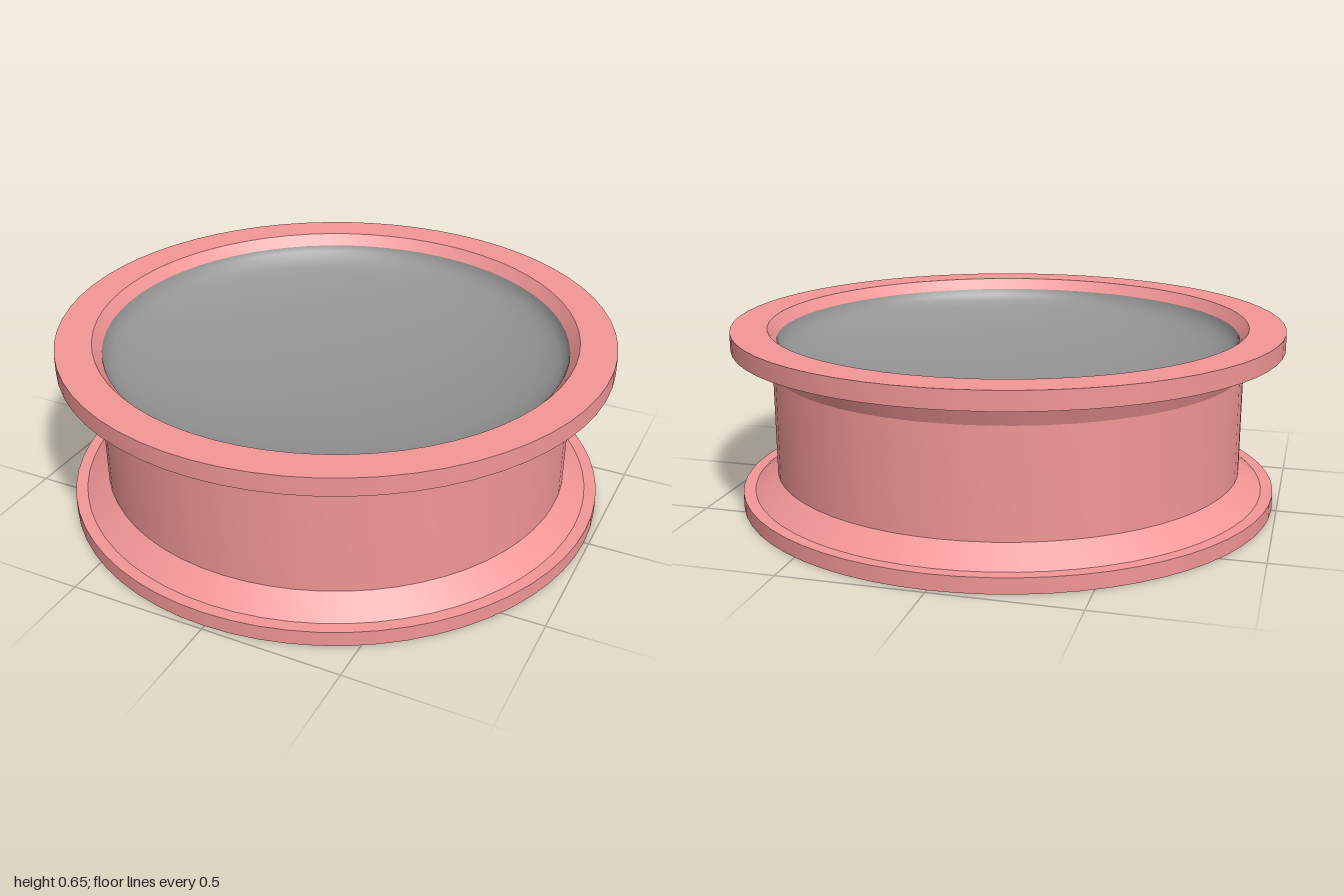
import * as THREE from 'three';
import { toCreasedNormals } from 'three/addons/utils/BufferGeometryUtils.js';

const SIDES = 64;

// Turn a list of [radius, height] pairs around the y axis, keeping edges sharp
function turned(name, profile, color, crease) {
  const points = profile.map(([r, y]) => new THREE.Vector2(r, y));
  const geometry = toCreasedNormals(new THREE.LatheGeometry(points, SIDES), crease);
  const material = new THREE.MeshStandardMaterial({ color, side: THREE.DoubleSide });
  const mesh = new THREE.Mesh(geometry, material);
  mesh.name = name;
  return mesh;
}

export function createModel() {
  const model = new THREE.Group();
  model.name = 'drum';

  // Thin open shell: foot flange, flared base, straight wall, hollow top hoop and its inner bevel
  model.add(turned('shell', [
    [0.983, 0], [0.983, 0.055], [0.94, 0.055],
    [0.857, 0.12], [0.857, 0.5], [0.885, 0.565],
    [1, 0.585], [1, 0.65],
    [0.87, 0.65], [0.838, 0.61],
  ], 0xf29696, 0.3));

  // Drum skin: a thin shallow bowl, steepest at its edge
  const skin = [];
  for (let i = 0; i <= 12; i++) {
    const a = (i / 12) * Math.PI / 2;
    skin.push([0.838 * Math.sin(a), 0.61 - 0.17 * Math.cos(a)]);
  }
  model.add(turned('skin', skin.reverse(), 0x949494, 0.8));

  return model;
}
